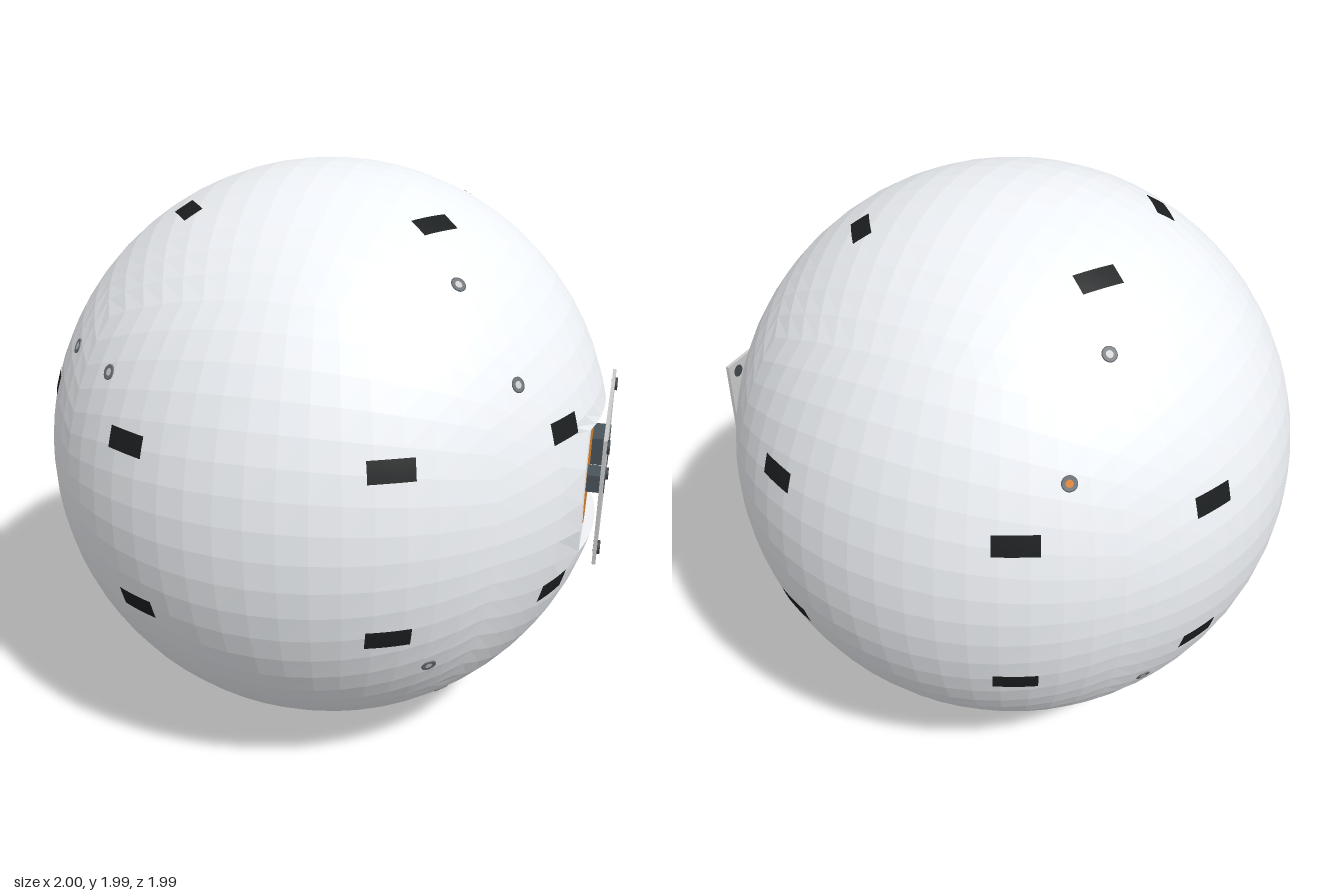
import * as THREE from 'three';

const R = 0.995, N = 16, HALF = N / 2;
const STEP = Math.PI / 2 / N;
const FLOOR = 0.934, POCKET_Y = 0.22;       // flat pocket on the +x side
const IY = 2, IZ = 4;                       // grid half counts of the pocket

const mat = (color, extra = {}) => new THREE.MeshStandardMaterial({ color, ...extra });
const shellMat = mat(0xf0f3f7, { flatShading: true, side: THREE.DoubleSide });
const white = mat(0xf0f1f0);
const black = mat(0x1c1f20);
const steel = mat(0x4a545c);
const dark = mat(0x40474c);
const orange = mat(0xd9822b);
const collarMat = mat(0x6c7277);

function add(parent, name, geometry, material, x = 0, y = 0, z = 0) {
  const mesh = new THREE.Mesh(geometry, material);
  mesh.name = name;
  mesh.position.set(x, y, z);
  parent.add(mesh);
  return mesh;
}

// Grid point on one of the six cube faces, pushed out to the ball
function ballPoint(face, i, j) {
  const ci = i - HALF, cj = j - HALF;
  if (face === 0 && Math.abs(ci) <= IY && Math.abs(cj) <= IZ) {
    // the pocket's grid ends where the ball meets the flat floor
    const y = POCKET_Y * ci / IY;
    const z = Math.sqrt(R * R - FLOOR * FLOOR - y * y) * cj / IZ;
    return new THREE.Vector3(Math.sqrt(R * R - y * y - z * z), y, z);
  }
  const s = face < 3 ? 1 : -1;
  const c = [0, 0, 0], axis = face % 3;
  c[axis] = s;
  c[(axis + 1) % 3] = Math.tan(ci * STEP);
  c[(axis + 2) % 3] = Math.tan(cj * STEP) * s;
  return new THREE.Vector3(...c).normalize().multiplyScalar(R);
}

const sunk = (v) => new THREE.Vector3(FLOOR, v.y, v.z);

function quads(list) {
  const pos = [];
  for (const [a, b, c, d] of list) for (const v of [a, b, c, a, c, d]) pos.push(v.x, v.y, v.z);
  const g = new THREE.BufferGeometry();
  g.setAttribute('position', new THREE.Float32BufferAttribute(pos, 3));
  g.computeVertexNormals();
  return g;
}

// Faceted ball; cells inside the pocket lie on its flat floor
function ballGeometry() {
  const list = [];
  for (let f = 0; f < 6; f++) for (let i = 0; i < N; i++) for (let j = 0; j < N; j++) {
    const pocket = f === 0 && Math.abs(i + 0.5 - HALF) < IY && Math.abs(j + 0.5 - HALF) < IZ;
    const q = [[i, j], [i + 1, j], [i + 1, j + 1], [i, j + 1]].map(([u, v]) => ballPoint(f, u, v));
    list.push(pocket ? q.map(sunk) : q);
  }
  return quads(list);
}

// Upper and lower walls of the pocket
function pocketWallGeometry() {
  const list = [];
  for (const s of [-1, 1]) for (let j = HALF - IZ; j < HALF + IZ; j++) {
    const a = ballPoint(0, HALF + s * IY, j), b = ballPoint(0, HALF + s * IY, j + 1);
    list.push([a, b, sunk(b), sunk(a)]);
  }
  return quads(list);
}

// Thin rectangle bent to follow the ball
function padGeometry() {
  const g = new THREE.PlaneGeometry(0.145, 0.07, 6, 3);
  const p = g.attributes.position;
  for (let k = 0; k < p.count; k++)
    p.setZ(k, Math.sqrt((R + 0.002) ** 2 - p.getX(k) ** 2 - p.getY(k) ** 2) - R);
  g.computeVertexNormals();
  return g;
}

// Group whose +z points out of the ball at direction n and whose x is level
function onSurface(parent, name, n) {
  const g = new THREE.Group();
  g.name = name;
  const dir = new THREE.Vector3(...n).normalize();
  g.position.copy(dir).multiplyScalar(R);
  g.lookAt(dir.multiplyScalar(R * 2));
  parent.add(g);
  return g;
}

export function createModel() {
  const model = new THREE.Group();
  model.name = 'sensorBall';
  const body = new THREE.Group();
  body.name = 'body';
  body.position.set(-0.004, R, 0);
  model.add(body);

  // Shell with its pocket
  add(body, 'shell', ballGeometry(), shellMat);
  add(body, 'pocketWalls', pocketWallGeometry(), shellMat);
  add(body, 'pocketDisc', new THREE.CircleGeometry(0.22, 32).rotateY(Math.PI / 2), orange, FLOOR + 0.001);

  // Black pads, four on each of the six sides
  const padGeo = padGeometry();
  for (const [x, y, z] of [[0.41, 0.28, 0.86], [0.86, 0.28, 0.41], [0.41, 0.867, 0.28]])
    for (const sx of [-1, 1]) for (const sy of [-1, 1]) for (const sz of [-1, 1])
      add(onSurface(body, 'pad', [x * sx, y * sy, z * sz]), 'padFace', padGeo, black);

  // Small round ports: a collar, a bevel and a floor
  const collarGeo = new THREE.LatheGeometry([[0.0115, 0.0005], [0.021, 0.001], [0.025, 0.001], [0.025, -0.012]]
    .map(([x, y]) => new THREE.Vector2(x, y)).reverse(), 20).rotateX(Math.PI / 2);
  const floorGeo = new THREE.CircleGeometry(0.012, 20);
  const ports = [
    [0.72, 0.45, 0.52], [0.52, 0.73, 0.45],
    [-0.73, 0.45, 0.52], [-0.52, 0.45, 0.73],
    [-0.52, 0.45, -0.73], [-0.52, 0.73, -0.45],
    [0.52, -0.45, 0.73], [0.52, -0.73, 0.45],
    [0.72, -0.45, -0.52], [0.52, -0.45, -0.73],
    [-0.73, -0.45, -0.52], [-0.52, -0.73, -0.45],
  ];
  ports.forEach((p, i) => {
    const port = onSurface(body, 'port', p);
    add(port, 'portCollar', collarGeo, collarMat);
    add(port, 'portFloor', floorGeo, i === 4 || i === 9 ? orange : white, 0, 0, 0.001);
  });

  // Cover plate floating over the pocket
  const cover = new THREE.Group();
  cover.name = 'cover';
  cover.position.set(0, R + 0.005, 0);
  model.add(cover);
  add(cover, 'coverPlate', new THREE.BoxGeometry(0.012, 0.44, 0.7), white, 0.983, 0, 0);
  const screwGeo = new THREE.CylinderGeometry(0.023, 0.023, 0.022, 20).rotateZ(Math.PI / 2);
  for (const sy of [-1, 1]) for (const sz of [-1, 1])
    add(cover, 'coverScrew', screwGeo, dark, 0.987, 0.18 * sy, 0.3 * sz);
  add(cover, 'largeChip', new THREE.BoxGeometry(0.06, 0.1, 0.15), steel, 0.962, 0, -0.15);
  add(cover, 'smallChip', new THREE.BoxGeometry(0.06, 0.06, 0.092), steel, 0.962, 0, 0.155);
  return model;
}
